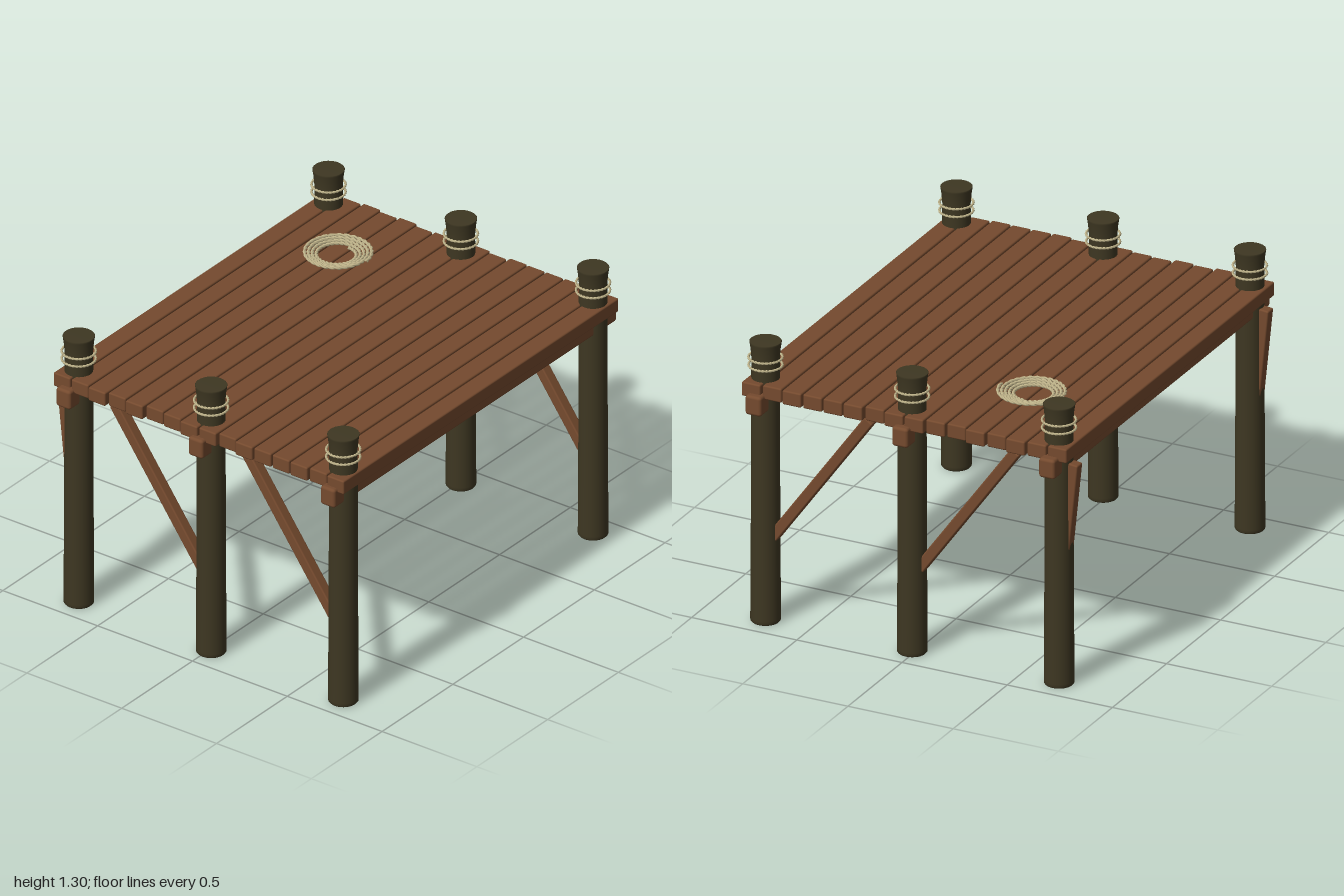
import * as THREE from 'three';
import { RoundedBoxGeometry } from 'three/addons/geometries/RoundedBoxGeometry.js';

const wood = new THREE.MeshStandardMaterial({ color: 0x754a2e });
wood.name = 'brown wood';
const darkWood = new THREE.MeshStandardMaterial({ color: 0x3e3722 });
darkWood.name = 'dark post wood';
const ropeMat = new THREE.MeshStandardMaterial({ color: 0xc2b68c });
ropeMat.name = 'pale rope';

const POST_X = [-0.885, 0.88];
const POST_Z = [-0.685, 0.013, 0.71];

function add(parent, name, geometry, material, x = 0, y = 0, z = 0) {
  const mesh = new THREE.Mesh(geometry, material);
  mesh.name = name;
  mesh.position.set(x, y, z);
  parent.add(mesh);
  return mesh;
}

// Two strands twisted around a round path; radius and height vary along it
function addRope(parent, name, turns, radiusAt, heightAt, thickness, closed) {
  const rope = new THREE.Group();
  rope.name = name;
  const twists = Math.round(turns * 14);
  for (let s = 0; s < 2; s++) {
    const curve = new THREE.Curve();
    curve.getPoint = (t, target = new THREE.Vector3()) => {
      const a = t * turns * Math.PI * 2;
      const w = t * twists * Math.PI * 2 + s * Math.PI;
      const r = radiusAt(t) + Math.cos(w) * thickness * 0.4;
      return target.set(Math.cos(a) * r, heightAt(t) + Math.sin(w) * thickness * 0.4, Math.sin(a) * r);
    };
    curve.arcLengthDivisions = 600;
    add(rope, 'ropeStrand', new THREE.TubeGeometry(curve, twists * 8, thickness * 0.6, 6, closed), ropeMat);
  }
  parent.add(rope);
  return rope;
}

export function createModel() {
  const dock = new THREE.Group();
  dock.name = 'dock';

  // Deck planks with slightly uneven lengths
  const deck = new THREE.Group();
  deck.name = 'deck';
  dock.add(deck);
  const halfLengths = [0.963, 0.965, 0.975, 0.961, 0.971, 0.954, 0.961, 0.973,
    0.971, 0.958, 0.973, 0.97, 0.97, 0.973, 0.965, 0.973];
  halfLengths.forEach((h, i) => {
    add(deck, 'plank', new RoundedBoxGeometry(h * 2, 0.065, 0.089, 2, 0.007), wood,
      -0.003, 1.0975, -0.716 + i * 0.0967);
  });

  // Cross beams under the deck
  for (const z of POST_Z) {
    add(dock, 'crossBeam', new RoundedBoxGeometry(2, 0.09, 0.076, 2, 0.013), wood, 0, 1.041, z);
  }

  // Tapered posts with a flared head
  const profile = [[0, 0], [0.06, 0], [0.065, 0.006], [0.065, 0.02], [0.062, 0.6], [0.061, 1.15],
    [0.06, 1.22], [0.064, 1.265], [0.068, 1.292], [0.069, 1.298], [0.067, 1.3], [0, 1.3]]
    .map(([r, y]) => new THREE.Vector2(r, y));
  const postGeo = new THREE.LatheGeometry(profile, 28);
  const braceUp = new THREE.Vector3(0, 1, 0);

  for (const x of POST_X) {
    for (const z of POST_Z) {
      add(dock, 'post', postGeo, darkWood, x, 0, z);

      // Rope bindings near the head
      for (const y of [1.188, 1.224]) {
        addRope(dock, 'ropeBinding', 1, () => 0.072, () => 0, 0.006, true).position.set(x, y, z);
      }

      // Diagonal brace leaning towards the back, steeper at the last row
      const last = z === POST_Z[0];
      const from = new THREE.Vector3(x, 0.4, last ? -0.695 : z - 0.04);
      const to = new THREE.Vector3(x, 1.038, last ? -0.761 : z - 0.5);
      const dir = to.clone().sub(from);
      const brace = add(dock, 'brace', new RoundedBoxGeometry(0.05, dir.length(), 0.048, 2, 0.007), wood);
      brace.position.copy(from).add(to).multiplyScalar(0.5);
      brace.quaternion.setFromUnitVectors(braceUp, dir.normalize());
    }
  }

  // Flat rope coil on the deck, rising slightly outwards
  addRope(dock, 'ropeCoil', 4.25, t => 0.078 + 0.07 * t, t => 0.017 * t, 0.0085, false)
    .position.set(0.537, 1.141, -0.383);

  return dock;
}
